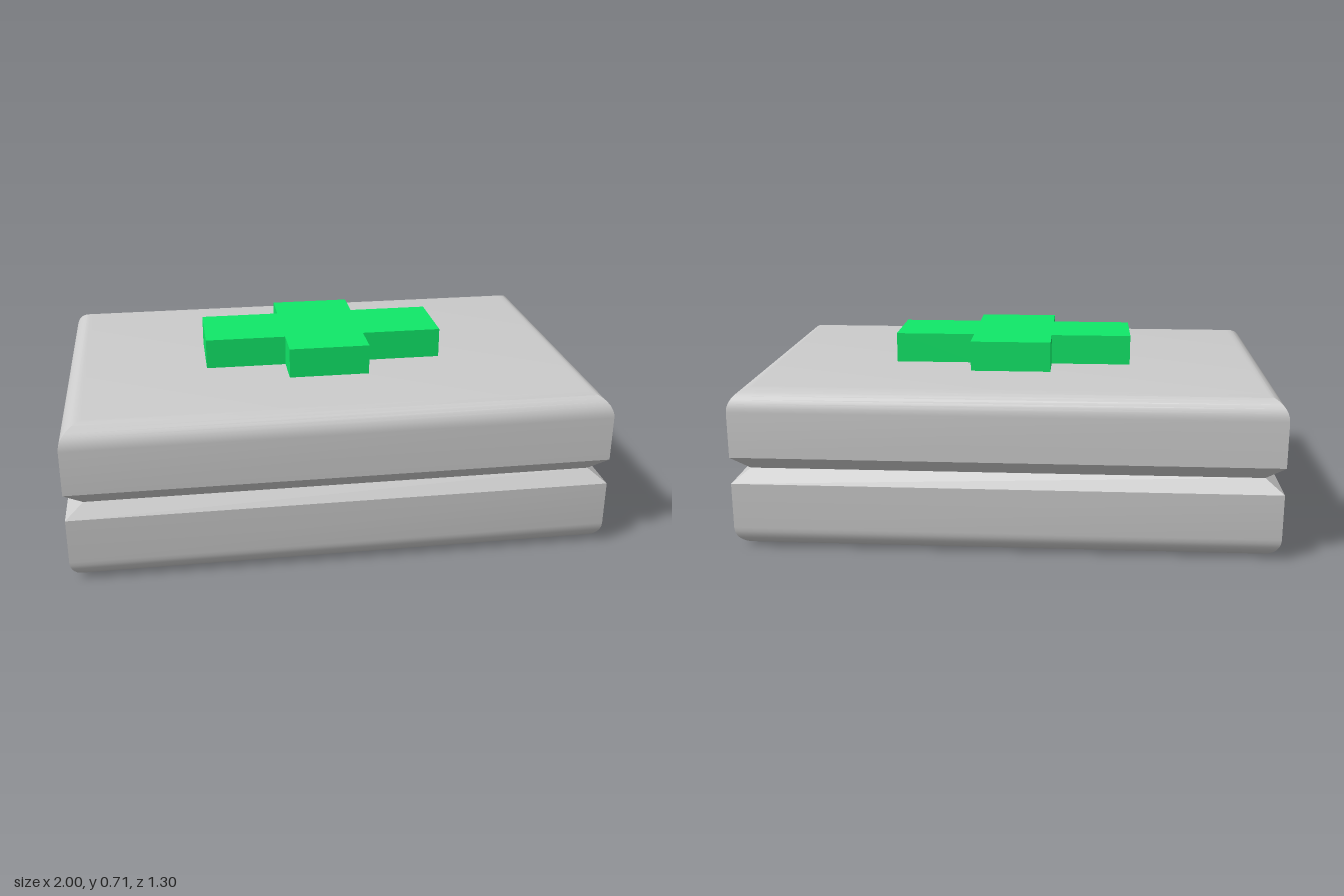
import * as THREE from 'three';
import { toCreasedNormals } from 'three/addons/utils/BufferGeometryUtils.js';

const HALF_X = 1, HALF_Z = 0.65, HEIGHT = 0.6, RADIUS = 0.08;

// Half-size [x, z] and height y of each rectangular section, bottom to top
function caseSections() {
  const lower = [];
  const steps = 8;
  for (let i = 0; i <= steps; i++) {
    const a = (i / steps) * Math.PI / 2;
    const inset = RADIUS * (1 - Math.sin(a));
    lower.push([HALF_X - inset, HALF_Z - inset, RADIUS * (1 - Math.cos(a))]);
  }
  lower.push([HALF_X, HALF_Z, 0.25]);
  const upper = lower.map(([x, z, y]) => [x, z, HEIGHT - y]).reverse();
  // V-shaped groove between the two halves
  const groove = [HALF_X * 0.935, HALF_Z * 0.935, HEIGHT / 2];
  return [...lower, groove, ...upper];
}

// Skin rectangular sections and close both ends
function loftRectangles(sections) {
  const positions = [], index = [];
  for (const [x, z, y] of sections) {
    positions.push(x, y, z, x, y, -z, -x, y, -z, -x, y, z);
  }
  for (let r = 0; r < sections.length - 1; r++) {
    for (let k = 0; k < 4; k++) {
      const a = r * 4 + k, b = r * 4 + (k + 1) % 4;
      index.push(a, b, b + 4, a, b + 4, a + 4);
    }
  }
  const t = (sections.length - 1) * 4;
  index.push(0, 2, 1, 0, 3, 2, t, t + 1, t + 2, t, t + 2, t + 3);
  const geometry = new THREE.BufferGeometry();
  geometry.setAttribute('position', new THREE.Float32BufferAttribute(positions, 3));
  geometry.setIndex(index);
  return toCreasedNormals(geometry, Math.PI / 6);
}

// Raised cross standing on the lid
function crossGeometry() {
  const armX = 0.46, armZ = 0.283, midX = 0.153, midZ = 0.141;
  const quarter = [[armX, midZ], [midX, midZ], [midX, armZ]];
  const flipped = [...quarter].reverse();
  const outline = [
    ...quarter,
    ...flipped.map(([x, y]) => [-x, y]),
    ...quarter.map(([x, y]) => [-x, -y]),
    ...flipped.map(([x, y]) => [x, -y]),
  ];
  const shape = new THREE.Shape(outline.map(([x, y]) => new THREE.Vector2(x, y)));
  return new THREE.ExtrudeGeometry(shape, { depth: 0.114, bevelEnabled: false })
    .rotateX(-Math.PI / 2)
    .translate(0, HEIGHT, 0);
}

export function createModel() {
  const group = new THREE.Group();
  group.name = 'firstAidCase';

  const body = new THREE.Mesh(
    loftRectangles(caseSections()),
    new THREE.MeshStandardMaterial({ color: 0xcccccc }),
  );
  body.name = 'caseBody';

  const cross = new THREE.Mesh(
    crossGeometry(),
    new THREE.MeshStandardMaterial({ color: 0x10e868 }),
  );
  cross.name = 'raisedCross';

  group.add(body, cross);
  return group;
}
